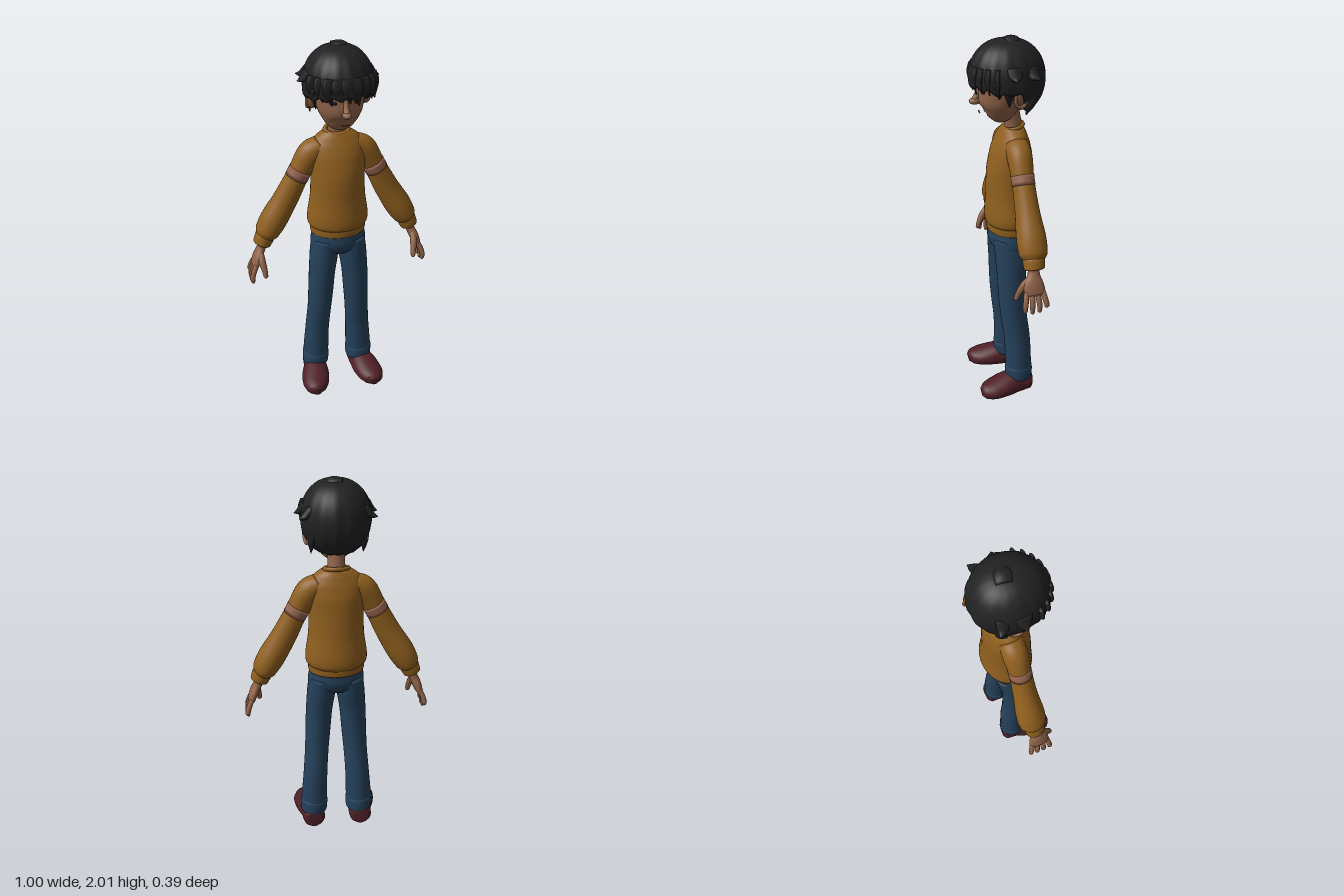
import * as THREE from 'three';

const V = (x, y, z) => new THREE.Vector3(x, y, z);
const paint = (name, color) => {
  const m = new THREE.MeshStandardMaterial({ color });
  m.name = name;
  return m;
};

// Smooth surface through rings of points; ends close to a centre point when asked
function skin(rows, capped) {
  const n = rows[0].length, pos = [], idx = [];
  rows.forEach(r => r.forEach(p => pos.push(p.x, p.y, p.z)));
  for (let i = 0; i < rows.length - 1; i++) {
    for (let j = 0; j < n; j++) {
      const a = i * n + j, b = i * n + (j + 1) % n, c = a + n, d = b + n;
      idx.push(a, c, b, b, c, d);
    }
  }
  if (capped) {
    [0, rows.length - 1].forEach(i => {
      const mid = rows[i].reduce((s, p) => s.add(p), V(0, 0, 0)).divideScalar(n);
      const k = pos.length / 3;
      pos.push(mid.x, mid.y, mid.z);
      for (let j = 0; j < n; j++) {
        const a = i * n + j, b = i * n + (j + 1) % n;
        if (i === 0) idx.push(k, a, b); else idx.push(k, b, a);
      }
    });
  }
  const g = new THREE.BufferGeometry();
  g.setAttribute('position', new THREE.Float32BufferAttribute(pos, 3));
  g.setIndex(idx);
  g.computeVertexNormals();
  return g;
}

// Loft of ellipses along a smooth path; sections are [x, y, z, width, depth]
function loft(sections, { ref = V(0, 0, 1), from = 0, to = 1, grow = 0, steps = 5, sides = 28, floor = false } = {}) {
  const path = new THREE.CatmullRomCurve3(sections.map(s => V(s[0], s[1], s[2])));
  const size = new THREE.CatmullRomCurve3(sections.map(s => V(s[3], s[4] ?? s[3], 0)), false, 'catmullrom', 0.4);
  const count = Math.max(3, Math.round((sections.length - 1) * steps * (to - from)));
  const rows = [];
  for (let i = 0; i <= count; i++) {
    const t = from + (to - from) * i / count;
    const c = path.getPoint(t), r = size.getPoint(t);
    const T = path.getTangent(t);
    const u = T.clone().cross(ref).normalize(), v = u.clone().cross(T);
    const row = [];
    for (let j = 0; j < sides; j++) {
      const a = j / sides * Math.PI * 2;
      const p = c.clone().addScaledVector(u, (r.x + grow) * Math.cos(a)).addScaledVector(v, (r.y + grow) * Math.sin(a));
      if (floor) p.y = Math.max(0, p.y);
      row.push(p);
    }
    rows.push(row);
  }
  return skin(rows, true);
}

// Cap of hair whose lower edge rises over the face and ears and falls at the nape
function hairCap() {
  const edge = [[0, 97], [0.25, 100], [0.4, 106], [0.48, 103], [0.56, 108], [0.64, 140], [0.8, 147], [1, 149]];
  const n = 120, rowCount = 26, rows = [];
  for (let i = 0; i <= rowCount + 1; i++) {
    const row = [];
    for (let j = 0; j < n; j++) {
      const phi = j / n * Math.PI * 2;
      const a = Math.abs(phi > Math.PI ? phi - 2 * Math.PI : phi) / Math.PI;
      const k = Math.max(1, edge.findIndex(e => e[0] >= a));
      const [a0, d0] = edge[k - 1], [a1, d1] = edge[k];
      const saw = (j % 8) / 8;
      const limit = d0 + (d1 - d0) * (a - a0) / (a1 - a0) + 7 * (saw < 0.6 ? saw / 0.6 : (1 - saw) / 0.4) - 3;
      const s = Math.min(i, rowCount) / rowCount, inner = i > rowCount;
      const th = (0.01 + 0.99 * s) * limit * Math.PI / 180;
      const lump = 1 + s * (0.015 * Math.sin(phi * 15) + 0.012 * Math.sin(phi * 7 + 1));
      const r = Math.pow(Math.sin(th), 0.82) * lump * (inner ? 0.72 : 1);
      row.push(V(0.176 * r * Math.sin(phi), 1.81 + 0.188 * Math.cos(th) + (inner ? 0.012 : 0), 0.192 * r * Math.cos(phi) - 0.003));
    }
    rows.push(row);
  }
  return skin(rows, true);
}

export function createModel() {
  const model = new THREE.Group();
  model.name = 'boy';
  const skinTone = paint('skin', 0x8f6349);
  const hair = paint('hair', 0x212121);
  const wool = paint('mustard wool', 0x8f5f1e);
  const stripe = paint('sleeve stripe', 0x94644f);
  const denim = paint('denim', 0x25415a);
  const leather = paint('red leather', 0x4f2026);
  const dark = paint('eye dark', 0x1a1412);
  const lips = paint('lips', 0x74483a);
  const add = (name, geometry, material) => {
    const m = new THREE.Mesh(geometry, material);
    m.name = name;
    model.add(m);
    return m;
  };
  const ball = (name, material, p, r) => {
    const m = add(name, new THREE.SphereGeometry(1, 24, 16), material);
    m.position.set(...p);
    m.scale.set(...r);
    return m;
  };

  // Sweater body, hem and collar
  add('sweaterBody', loft([
    [0, 1.02, -0.02, 0.142, 0.12], [0, 1.045, -0.02, 0.162, 0.134], [0, 1.09, -0.02, 0.164, 0.136],
    [0, 1.2, -0.018, 0.148, 0.126], [0, 1.32, -0.017, 0.143, 0.12], [0, 1.42, -0.025, 0.15, 0.106],
    [0, 1.48, -0.03, 0.145, 0.088], [0, 1.525, -0.033, 0.115, 0.07], [0, 1.555, -0.035, 0.075, 0.056]], { sides: 40 }), wool);
  add('sweaterHem', loft([
    [0, 0.985, -0.018, 0.14, 0.114], [0, 0.992, -0.018, 0.149, 0.122],
    [0, 1.025, -0.018, 0.151, 0.124], [0, 1.045, -0.018, 0.146, 0.12]], { sides: 40 }), wool);
  const collar = add('sweaterCollar', new THREE.TorusGeometry(0.061, 0.011, 10, 36), wool);
  collar.position.set(0, 1.557, -0.034);
  collar.rotation.x = Math.PI / 2 + 0.2;
  collar.scale.y = 0.86;

  // Trouser seat and waistband
  add('trouserSeat', loft([
    [0, 0.87, -0.012, 0.11, 0.075], [0, 0.9, -0.012, 0.148, 0.1], [0, 0.94, -0.012, 0.152, 0.112],
    [0, 1.0, -0.014, 0.141, 0.11]], { sides: 36 }), denim);

  // Neck and head
  add('neck', loft([[0, 1.5, -0.04, 0.052], [0, 1.56, -0.036, 0.045], [0, 1.62, -0.026, 0.044], [0, 1.69, -0.01, 0.05]]), skinTone);
  add('head', loft([
    [0, 1.603, 0.078, 0.025, 0.025], [0, 1.613, 0.07, 0.055, 0.053], [0, 1.64, 0.054, 0.083, 0.086],
    [0, 1.69, 0.038, 0.11, 0.114], [0, 1.74, 0.02, 0.124, 0.132], [0, 1.8, 0.004, 0.135, 0.15],
    [0, 1.88, 0, 0.13, 0.145], [0, 1.95, -0.01, 0.08, 0.09]], { sides: 36 }), skinTone);
  ball('noseTip', skinTone, [0, 1.7, 0.161], [0.024, 0.018, 0.03]);
  add('noseBridge', loft([[0, 1.775, 0.138, 0.01], [0, 1.735, 0.148, 0.014], [0, 1.703, 0.163, 0.018]]), skinTone);
  const mouth = add('mouth', new THREE.TorusGeometry(0.05, 0.0035, 6, 16, 0.9), lips);
  mouth.position.set(0, 1.688, 0.137);
  mouth.rotation.z = -Math.PI / 2 - 0.45;

  // Hair and loose locks
  add('hairCap', hairCap(), hair);
  add('crownLock', loft([[-0.03, 1.985, -0.03, 0.02, 0.04], [0.02, 1.988, -0.02, 0.022, 0.04], [0.075, 1.975, 0, 0.003, 0.004]]), hair);
  for (let i = 0; i < 9; i++) {
    const a = (i - 4) * 0.27, x = Math.sin(a), z = Math.cos(a), drop = 0.02 * (i % 3);
    add('fringeLock', loft([
      [0.155 * x, 1.88, 0.172 * z, 0.03, 0.012], [0.168 * x, 1.83, 0.182 * z, 0.032, 0.012],
      [0.166 * x + 0.014, 1.772 - drop * 0.6, 0.172 * z, 0.003, 0.003]], { sides: 14 }), hair);
  }

  for (const s of [1, -1]) {
    // Face and side hair
    const eye = ball('eye', dark, [s * 0.058, 1.755, 0.134], [0.017, 0.009, 0.004]);
    eye.rotation.y = s * 0.45;
    const brow = ball('eyebrow', hair, [s * 0.058, 1.785, 0.135], [0.027, 0.006, 0.004]);
    brow.rotation.set(0, s * 0.45, -s * 0.08);
    const ear = ball('ear', skinTone, [s * 0.138, 1.732, -0.03], [0.018, 0.05, 0.034]);
    ear.rotation.set(-0.15, s * 0.35, -s * 0.22);
    const rim = add('earRim', new THREE.TorusGeometry(0.032, 0.008, 8, 24), skinTone);
    rim.position.set(s * 0.15, 1.737, -0.034);
    rim.rotation.set(0, s * (Math.PI / 2 + 0.3), 0);
    rim.scale.y = 1.35;
    const locks = [
      ['sideburn', [0.137, 1.8, 0.03, 0.014, 0.035], [0.13, 1.75, 0.02, 0.01, 0.022], [0.118, 1.69, 0.016, 0.002, 0.003]],
      ['templeLock', [0.15, 1.82, 0.08, 0.014, 0.03], [0.146, 1.785, 0.075, 0.012, 0.022], [0.128, 1.74, 0.066, 0.002, 0.003]],
      ['napeLock', [0.115, 1.77, -0.09, 0.02, 0.04], [0.128, 1.71, -0.085, 0.018, 0.03], [0.13, 1.65, -0.065, 0.002, 0.003]],
      ['sideFlick', [0.15, 1.88, 0, 0.022, 0.045], [0.178, 1.845, 0, 0.016, 0.03], [0.205, 1.835, 0.002, 0.002, 0.003]],
      ['backFlick', [0.13, 1.87, -0.08, 0.022, 0.04], [0.162, 1.84, -0.1, 0.016, 0.025], [0.188, 1.835, -0.118, 0.002, 0.003]]];
    for (const [name, ...pts] of locks) {
      add(name, loft(pts.map(p => [s * p[0], ...p.slice(1)]), { sides: 14 }), hair);
    }

    // Sleeve, stripe and cuff
    const side = list => list.map(p => [s * p[0], ...p.slice(1)]);
    const arm = side([
      [0.085, 1.485, -0.03, 0.05, 0.06], [0.14, 1.442, -0.03, 0.067, 0.064], [0.203, 1.338, -0.03, 0.059, 0.057],
      [0.275, 1.2, -0.032, 0.066, 0.062], [0.345, 1.083, -0.033, 0.072, 0.075],
      [0.385, 1.015, -0.033, 0.064, 0.072], [0.402, 0.985, -0.031, 0.044, 0.05]]);
    add('sleeve', loft(arm), wool);
    add('sleeveStripe', loft(arm, { from: 0.305, to: 0.365, grow: 0.002 }), stripe);
    add('cuff', loft(side([
      [0.39, 1.01, -0.031, 0.045, 0.05], [0.398, 0.99, -0.031, 0.052, 0.056],
      [0.415, 0.95, -0.03, 0.048, 0.052], [0.417, 0.945, -0.03, 0.04, 0.044]])), wool);

    // Hand
    add('palm', loft(side([
      [0.408, 0.965, -0.028, 0.026, 0.03], [0.422, 0.925, -0.025, 0.024, 0.031],
      [0.443, 0.88, -0.02, 0.025, 0.05], [0.46, 0.835, -0.02, 0.021, 0.056], [0.465, 0.822, -0.02, 0.014, 0.045]])), skinTone);
    for (let i = 0; i < 4; i++) {
      const z0 = 0.022 - i * 0.028, z1 = 0.034 - i * 0.037, tip = [0.75, 0.738, 0.742, 0.765][i];
      add('finger', loft(side([
        [0.457, 0.845, z0, 0.013], [0.474, 0.81, (z0 + z1) / 2, 0.0145], [0.484, 0.775, z1, 0.0135],
        [0.483, tip, z1, 0.011], [0.481, tip - 0.008, z1, 0.005]]), { sides: 12 }), skinTone);
    }
    add('thumb', loft(side([
      [0.43, 0.91, -0.005, 0.016], [0.428, 0.865, 0.03, 0.019], [0.42, 0.82, 0.053, 0.015],
      [0.417, 0.79, 0.063, 0.012], [0.416, 0.782, 0.065, 0.005]]), { sides: 14 }), skinTone);

    // Trouser leg with turned-up end
    add('trouserLeg', loft(side([
      [0.074, 0.95, -0.012, 0.07, 0.1], [0.08, 0.86, -0.008, 0.077, 0.092], [0.093, 0.74, -0.004, 0.073, 0.08],
      [0.102, 0.6, -0.006, 0.07, 0.076], [0.11, 0.48, -0.014, 0.067, 0.073], [0.12, 0.34, -0.03, 0.068, 0.073],
      [0.128, 0.2, -0.035, 0.073, 0.074], [0.131, 0.15, -0.036, 0.073, 0.074]])), denim);
    add('trouserTurnUp', loft(side([
      [0.13, 0.165, -0.036, 0.071, 0.072], [0.131, 0.15, -0.036, 0.077, 0.078], [0.132, 0.11, -0.037, 0.077, 0.078],
      [0.132, 0.085, -0.037, 0.074, 0.075], [0.132, 0.08, -0.037, 0.066, 0.067]])), denim);

    // Shoe
    add('shoe', loft(side([
      [0.135, 0.05, -0.11, 0.04, 0.05], [0.136, 0.05, -0.092, 0.062, 0.062], [0.14, 0.05, -0.02, 0.067, 0.075],
      [0.153, 0.045, 0.05, 0.079, 0.064], [0.167, 0.038, 0.12, 0.076, 0.052], [0.171, 0.034, 0.17, 0.056, 0.042],
      [0.17, 0.03, 0.194, 0.024, 0.025]]), { ref: V(0, 1, 0), floor: true }), leather);
  }
  return model;
}
